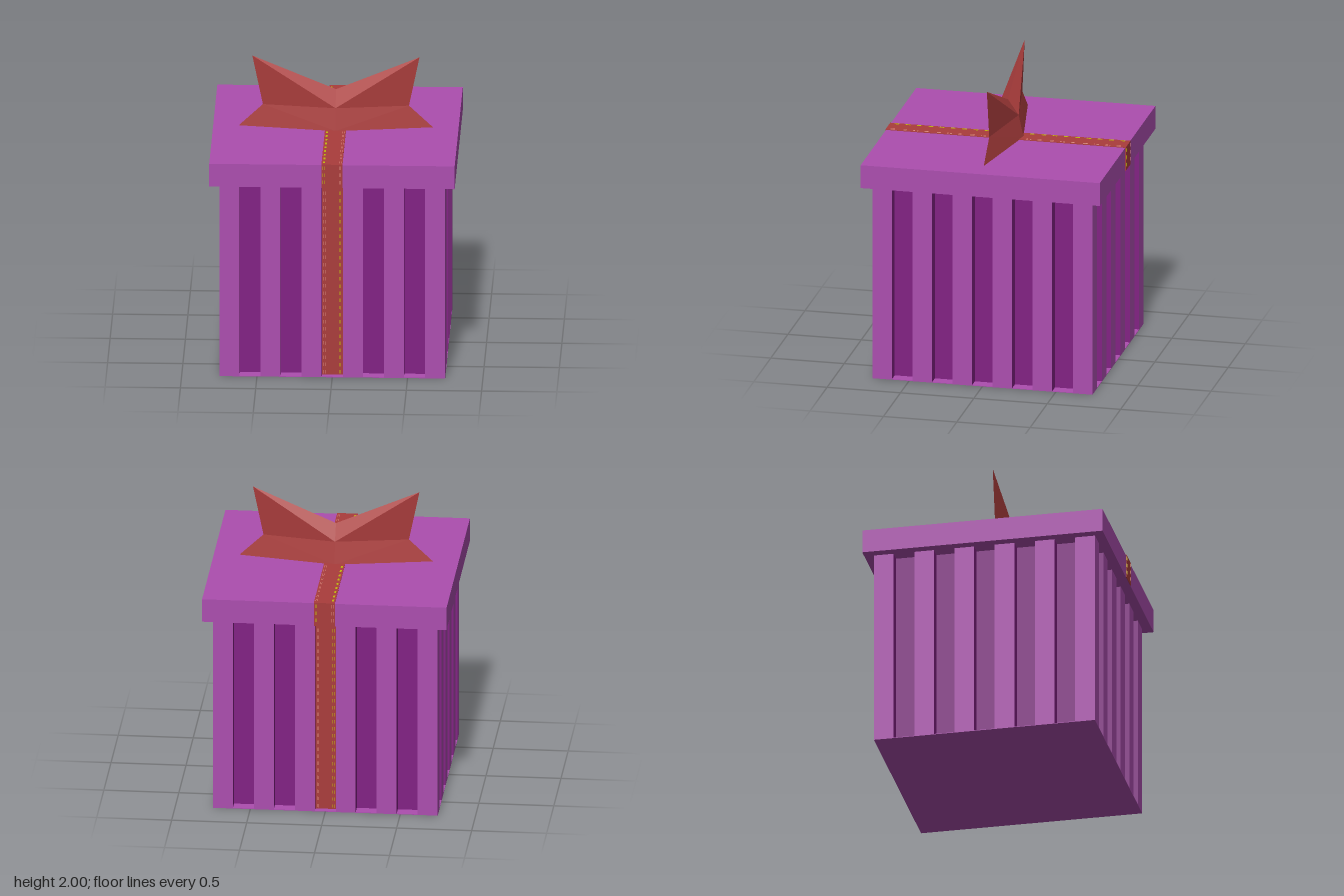
import * as THREE from 'three';
import { mergeGeometries } from 'three/addons/utils/BufferGeometryUtils.js';

export function createModel() {
  const model = new THREE.Group();
  const mat = (name, color) => {
    const m = new THREE.MeshStandardMaterial({ color });
    m.name = name;
    return m;
  };
  const purple = mat('light purple', 0xac4eaf);
  const plum = mat('dark purple', 0x822184);
  const red = mat('red', 0xaa3d3c);
  const yellow = mat('yellow', 0xc2b80c);
  const pink = mat('pale pink', 0xe08a7c);

  const box = (name, w, h, d, x, y, z, material, parent = model) => {
    const m = new THREE.Mesh(new THREE.BoxGeometry(w, h, d), material);
    m.name = name;
    m.position.set(x, y, z);
    parent.add(m);
    return m;
  };

  const HALF = 0.75, TOP = 1.35, LID = 1.51, LIDHALF = 0.815, DEPTH = 0.08;
  const PITCH = 0.273, GROOVE = 0.14, BASE = 0.004;
  const barH = TOP - BASE, barY = (TOP + BASE) / 2;

  // Recessed core and floor plate
  const core = 2 * (HALF - DEPTH);
  box('core', core, barH, core, 0, barY, 0, plum);
  box('floor', 2 * HALF, BASE, 2 * HALF, 0, BASE / 2, 0, purple);

  // Four ribbed walls: light outer faces, dark groove walls
  const barW = PITCH - GROOVE;
  const cornerW = HALF - 2 * PITCH - GROOVE / 2;
  for (let s = 0; s < 4; s++) {
    const wall = new THREE.Group();
    wall.name = 'wall' + (s + 1);
    wall.rotation.y = s * Math.PI / 2;
    model.add(wall);
    for (const k of [-1.5, -0.5, 0.5, 1.5]) {
      box('rib', barW, barH, DEPTH, k * PITCH, barY, HALF - DEPTH / 2,
        [plum, plum, plum, plum, purple, plum], wall);
    }
    const c = HALF - cornerW / 2;
    box('cornerRib', cornerW, barH, cornerW, c, barY, c,
      [purple, plum, plum, plum, purple, plum], wall);
  }

  // Lid
  box('lid', 2 * LIDHALF, LID - TOP, 2 * LIDHALF, 0, (LID + TOP) / 2, 0, purple);

  // Ribbon over the lid and down the front and back
  const T = 0.004, RZ = 0.705;
  box('ribbonTop', GROOVE, T, 2 * (LIDHALF + T), 0, LID + T / 2, 0, red);
  for (const s of [1, -1]) {
    box('ribbonLidSide', GROOVE, LID - TOP, T, 0, (LID + TOP) / 2, s * (LIDHALF + T / 2), red);
    box('ribbonBody', GROOVE, barH, RZ - HALF + DEPTH, 0, barY, s * (RZ + HALF - DEPTH) / 2, red);
  }

  // Stitching: rows of thin dashes
  const stitches = { yellow: [], pink: [] };
  const dash = (set, w, h, d, x, y, z) =>
    stitches[set].push(new THREE.BoxGeometry(w, h, d).translate(x, y, z));
  const D = 0.003;
  for (const s of [1, -1]) {
    for (let i = 0; i < 27; i++) {
      for (const o of [-0.005, 0.005]) {
        dash('pink', 0.004, 0.024, D, s * (-0.053 + o), 0.025 + i * 0.05, s * RZ);
        dash('yellow', 0.004, 0.024, D, s * (0.05 + o), 0.025 + i * 0.05, s * RZ);
      }
    }
    for (let i = 0; i < 3; i++) {
      for (const o of [-0.005, 0.005]) {
        dash('yellow', 0.004, 0.024, D, s * (-0.055 + o), 1.39 + i * 0.05, s * (LIDHALF + T));
        dash('pink', 0.004, 0.024, D, s * (0.055 + o), 1.39 + i * 0.05, s * (LIDHALF + T));
      }
    }
  }
  for (let i = 0; i < 21; i++) {
    const z = -0.77 + i * 0.077;
    dash('yellow', 0.013, D, 0.032, -0.054, LID + T, z);
    for (const o of [-0.005, 0.005]) dash('pink', 0.003, D, 0.034, 0.055 + o, LID + T, z);
  }
  for (const [set, material] of [['yellow', yellow], ['pink', pink]]) {
    const m = new THREE.Mesh(mergeGeometries(stitches[set]), material);
    m.name = set + 'Stitches';
    model.add(m);
  }

  // Faceted star-shaped bow, mirrored left/right and front/back
  const MID = 0.015;
  const pos = [];
  for (const f of [1, -1]) {
    const z0 = f > 0 ? 0.115 : -0.105, z1 = f > 0 ? 0.085 : -0.073;
    for (const s of [1, -1]) {
      const foot = [0, LID, z0], crease = [0, 1.66, z1], valley = [0, 1.765, 0];
      const wing = [s * 0.645, LID, MID], notch = [s * 0.485, 1.66, MID], tip = [s * 0.555, 2, MID];
      const tris = [[foot, wing, notch], [foot, notch, crease], [crease, notch, tip], [crease, tip, valley]];
      for (const [a, b, c] of tris) {
        pos.push(...a, ...(f * s > 0 ? b : c), ...(f * s > 0 ? c : b));
      }
    }
  }
  const bowGeo = new THREE.BufferGeometry();
  bowGeo.setAttribute('position', new THREE.Float32BufferAttribute(pos, 3));
  bowGeo.computeVertexNormals();
  const bow = new THREE.Mesh(bowGeo, red);
  bow.name = 'bow';
  model.add(bow);

  return model;
}
